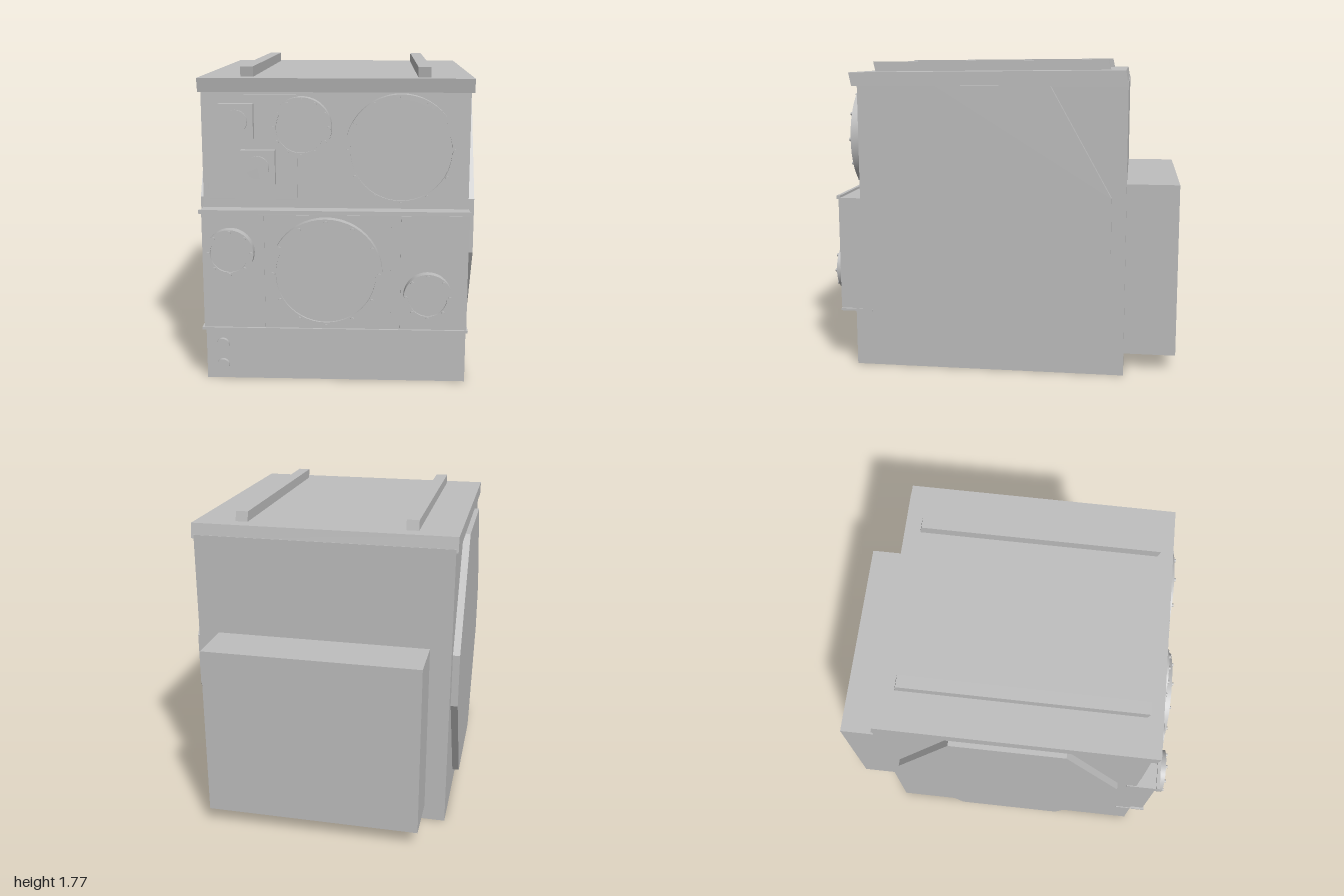
import * as THREE from 'three';
import { toCreasedNormals } from 'three/addons/utils/BufferGeometryUtils.js';

export function createModel() {
  const model = new THREE.Group();
  model.name = 'equipmentCabinet';
  const grey = new THREE.MeshStandardMaterial({ color: 0xbebebe });
  grey.name = 'plain grey';

  function add(name, geometry, parent = model) {
    const mesh = new THREE.Mesh(geometry, grey);
    mesh.name = name;
    parent.add(mesh);
    return mesh;
  }

  // Box given by its limits on each axis
  function box(name, x0, x1, y0, y1, z0, z1, parent) {
    const g = new THREE.BoxGeometry(x1 - x0, y1 - y0, z1 - z0);
    g.translate((x0 + x1) / 2, (y0 + y1) / 2, (z0 + z1) / 2);
    return add(name, g, parent);
  }

  // Side profile of [z, y] points, extruded across x
  function sideProfile(name, points, x0, x1) {
    const shape = new THREE.Shape(points.map(([z, y]) => new THREE.Vector2(-z, y)));
    const g = new THREE.ExtrudeGeometry(shape, { depth: x1 - x0, bevelEnabled: false });
    g.rotateY(Math.PI / 2).translate(x0, 0, 0);
    return add(name, g);
  }

  // Short cylinder pointing forward
  function disc(name, x, y, z0, z1, r, sides = 32, parent) {
    const g = new THREE.CylinderGeometry(r, r, z1 - z0, sides);
    g.rotateX(Math.PI / 2).translate(x, y, (z0 + z1) / 2);
    return add(name, g, parent);
  }

  // Round port: raised flange, recessed cover and a circle of bolts
  function port(name, x, y, z0, z1, r, inner, bolts) {
    const group = new THREE.Group();
    group.name = name;
    model.add(group);
    const profile = [
      [r, z0], [r, z1], [inner, z1], [inner, z1 - 0.012], [0, z1 - 0.012],
    ].map(([a, b]) => new THREE.Vector2(a, b));
    const g = toCreasedNormals(new THREE.LatheGeometry(profile, 48), 0.6);
    g.rotateX(Math.PI / 2);
    // Lathe axis now points to the front
    g.translate(x, y, 0);
    add('portFlange', g, group);
    const ring = (r + inner) / 2;
    for (let i = 0; i < bolts; i++) {
      const a = (i / bolts) * Math.PI * 2;
      disc('portBolt', x + ring * Math.cos(a), y + ring * Math.sin(a), z1 - 0.004, z1 + 0.01, 0.01, 12, group);
    }
  }

  // Cabinet body with the upper front set back
  sideProfile('body', [
    [0.847, 0], [0.847, 0.98], [0.807, 0.98], [0.807, 1.65], [-0.705, 1.65], [-0.705, 0],
  ], -0.73, 0.727);

  // Slightly sloping lid and its two rails
  sideProfile('lid', [[0.835, 1.625], [0.85, 1.7], [-0.69, 1.715], [-0.705, 1.63]], -0.742, 0.742);
  for (const x of [-0.483, 0.478]) {
    sideProfile('lidRail', [[0.76, 1.698], [0.773, 1.757], [-0.59, 1.77], [-0.603, 1.71]], x - 0.035, x + 0.035);
  }

  // Octagonal side covers
  const octagon = [
    [0.355, 0.11], [0.69, 0.71], [0.69, 1.02], [0.355, 1.63],
    [-0.285, 1.63], [-0.625, 1.02], [-0.625, 0.71], [-0.285, 0.11],
  ];
  sideProfile('leftCover', octagon, 0.72, 0.77);
  sideProfile('rightCover', octagon, -0.77, -0.72);

  // Rear housing
  box('rearHousing', -0.61, 0.61, 0.09, 1.08, -1, -0.7);

  // Lower front panel with folded lips
  box('lowerPanelCase', -0.722, 0.722, 0.335, 0.975, 0.84, 0.92);
  box('lowerPanelFace', -0.722, 0.722, 0.335, 0.98, 0.917, 0.93);
  box('topLip', -0.735, 0.73, 0.975, 0.987, 0.75, 0.935);
  box('topFlange', -0.735, 0.73, 0.98, 1, 0.925, 0.945);
  box('bottomLip', -0.735, 0.73, 0.32, 0.333, 0.75, 0.937);
  box('rightDoor', -0.71, -0.382, 0.34, 0.975, 0.927, 0.934);
  box('centreDoor', -0.378, 0.302, 0.34, 0.975, 0.927, 0.938);
  box('doorStrip', 0.305, 0.355, 0.34, 0.975, 0.927, 0.934);
  box('leftDoor', 0.358, 0.718, 0.34, 0.975, 0.927, 0.938);

  // Upper control plate with rounded corners
  const [px0, px1, py0, py1, c] = [-0.7, -0.208, 1.035, 1.612, 0.014];
  const plate = new THREE.Shape();
  plate.absarc(px1 - c, py1 - c, c, 0, Math.PI / 2);
  plate.absarc(px0 + c, py1 - c, c, Math.PI / 2, Math.PI);
  plate.absarc(px0 + c, py0 + c, c, Math.PI, Math.PI * 1.5);
  plate.absarc(px1 - c, py0 + c, c, Math.PI * 1.5, Math.PI * 2);
  const plateGeometry = new THREE.ExtrudeGeometry(plate, { depth: 0.022, bevelEnabled: false, curveSegments: 4 });
  add('controlPlate', plateGeometry.translate(0, 0, 0.803));

  // Square knob bases with round knobs
  for (const [x, y] of [[-0.535, 1.47], [-0.42, 1.22]]) {
    box('knobBase', x - 0.094, x + 0.094, y - 0.094, y + 0.094, 0.82, 0.865);
    disc('knob', x, y, 0.86, 0.88, 0.063);
  }

  // Bolted ports
  port('upperLargePort', 0.355, 1.317, 0.8, 0.875, 0.302, 0.272, 12);
  port('upperSmallPort', -0.183, 1.437, 0.8, 0.875, 0.165, 0.134, 12);
  port('lowerLargePort', -0.045, 0.66, 0.925, 0.99, 0.305, 0.27, 12);
  port('lowerRightPort', -0.565, 0.77, 0.925, 0.99, 0.131, 0.104, 8);
  port('lowerLeftPort', 0.505, 0.535, 0.925, 0.99, 0.131, 0.104, 8);

  // Push buttons near the base
  for (const y of [0.08, 0.203]) disc('pushButton', -0.638, y, 0.84, 0.868, 0.036);

  return model;
}
